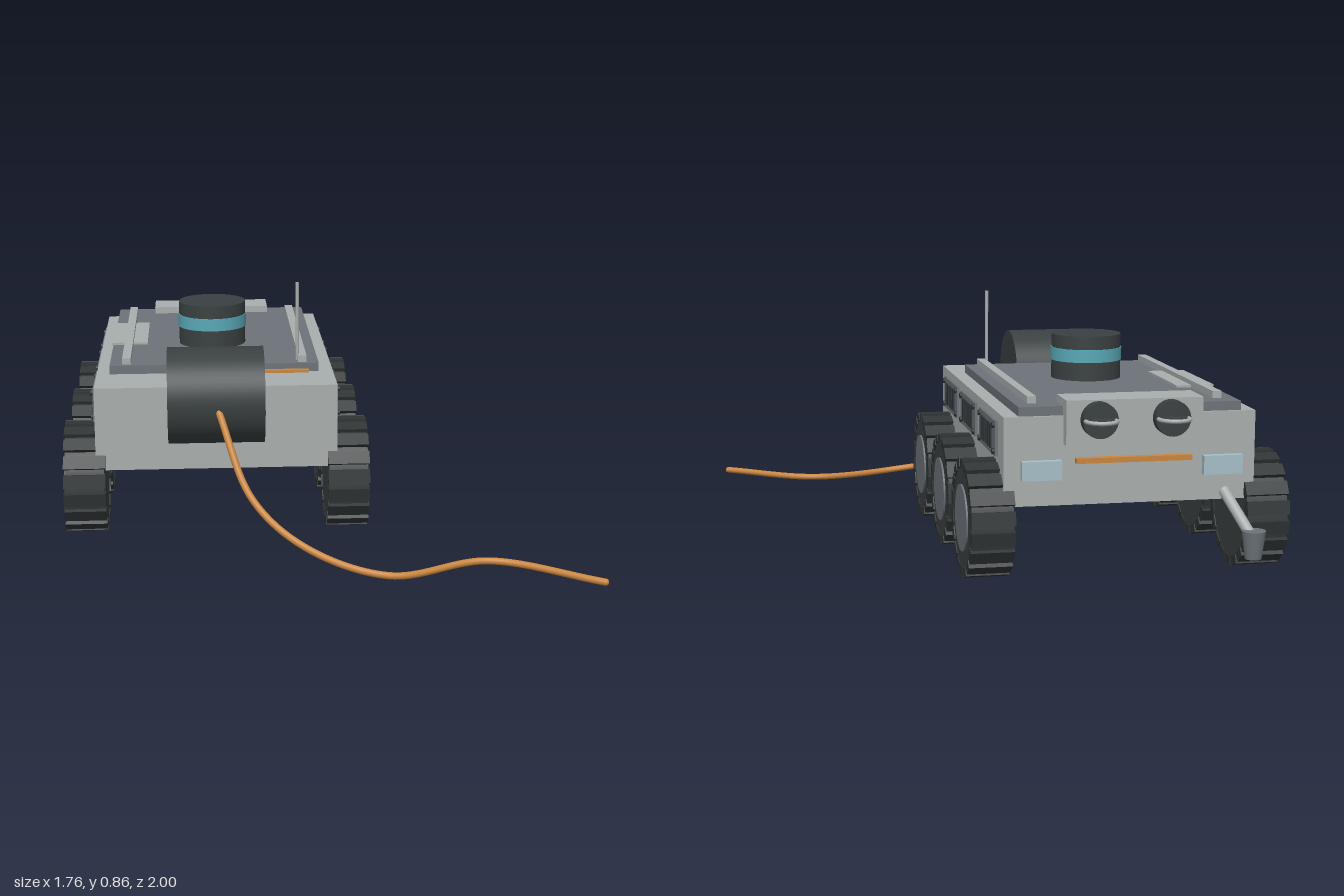
import * as THREE from 'three';

const mat = (name, color, extra) => {
  const m = new THREE.MeshStandardMaterial({ color, ...extra });
  m.name = name;
  return m;
};

export function createModel() {
  const shell = mat('light grey shell', 0xa9afae);
  const slate = mat('slate grey', 0x6c7378);
  const dark = mat('charcoal', 0x3a4041);
  const tread = mat('dark rubber', 0x2f3435);
  const orange = mat('orange', 0xca8640);
  const teal = mat('teal glass', 0x58a8b6);
  const pale = mat('pale lamp', 0xa6bfc7);

  const root = new THREE.Group();
  root.name = 'rover';
  const CX = -0.35; // centre line of the vehicle

  const add = (parent, name, geo, material, x = 0, y = 0, z = 0) => {
    const m = new THREE.Mesh(geo, material);
    m.name = name;
    m.position.set(x, y, z);
    parent.add(m);
    return m;
  };
  // Box from its minimum and maximum on each axis
  const box = (name, material, x0, x1, y0, y1, z0, z1, parent = root) =>
    add(parent, name, new THREE.BoxGeometry(x1 - x0, y1 - y0, z1 - z0), material,
      (x0 + x1) / 2, (y0 + y1) / 2, (z0 + z1) / 2);
  const cyl = (r0, r1, h, n = 48) => new THREE.CylinderGeometry(r0, r1, h, n);

  // Hull, deck and roof details
  box('hull', shell, -0.766, 0.066, 0.26, 0.55, -0.837, 0.362);
  box('deck', slate, -0.72, 0.016, 0.55, 0.58, -0.827, 0.16);
  box('rightRail', shell, -0.676, -0.646, 0.58, 0.603, -0.758, 0.143);
  box('leftRail', shell, -0.056, -0.026, 0.58, 0.603, -0.758, 0.143);
  box('deckPlate', shell, -0.726, -0.594, 0.58, 0.588, -0.525, -0.175);
  box('rearHousing', shell, -0.577, -0.128, 0.46, 0.605, -0.876, -0.738);
  box('frontStrip', orange, -0.3, -0.02, 0.55, 0.56, 0.16, 0.181);
  add(root, 'antenna', cyl(0.006, 0.006, 0.28, 12), shell, -0.057, 0.72, 0.11);

  // Sensor turret with a glass band
  add(root, 'turret', cyl(0.122, 0.122, 0.157), dark, -0.354, 0.6575, -0.212);
  add(root, 'turretBand', cyl(0.125, 0.125, 0.045), teal, -0.354, 0.667, -0.212);

  // Cable drum and trailing cable
  const drum = add(root, 'cableDrum', cyl(0.165, 0.165, 0.328, 64), dark, -0.351, 0.517, 0.342);
  drum.rotation.z = Math.PI / 2;
  const path = new THREE.CatmullRomCurve3([
    [-0.345, 0.5, 0.495], [-0.24, 0.24, 0.655], [-0.07, 0.11, 0.78],
    [0.19, 0.045, 0.88], [0.53, 0.047, 0.77], [0.87, 0.045, 0.985],
  ].map(p => new THREE.Vector3(...p)));
  add(root, 'cable', new THREE.TubeGeometry(path, 100, 0.012, 12), orange);
  add(root, 'cableEnd', new THREE.SphereGeometry(0.012, 12, 8), orange, 0.87, 0.045, 0.985);

  // Wheels: tyre, hub and tread blocks
  const makeWheel = side => {
    const g = new THREE.Group();
    g.name = 'wheel';
    const tyre = add(g, 'tyre', cyl(0.182, 0.182, 0.136), dark);
    tyre.rotation.z = Math.PI / 2;
    const hub = add(g, 'hub', cyl(0.11, 0.11, 0.012), slate, side * 0.068);
    hub.rotation.z = Math.PI / 2;
    const block = new THREE.BoxGeometry(0.144, 0.03, 0.046);
    for (let i = 0; i < 18; i++) {
      const a = (i / 18) * Math.PI * 2;
      const b = add(g, 'treadBlock', block, tread, 0, Math.cos(a) * 0.179, Math.sin(a) * 0.179);
      b.rotation.x = a;
    }
    return g;
  };

  // Vent panel: backing plate, slots and corner bolts
  const makeVent = side => {
    const g = new THREE.Group();
    g.name = 'ventPanel';
    box('ventPlate', slate, -0.005, 0.005, -0.058, 0.058, -0.142, 0.142, g);
    for (let i = -2; i <= 2; i++) {
      box('ventSlot', tread, -0.01, 0.01, -0.04, 0.04, i * 0.038 - 0.008, i * 0.038 + 0.008, g);
    }
    for (const y of [-0.043, 0.043]) for (const z of [-0.124, 0.124]) {
      const bolt = add(g, 'bolt', cyl(0.01, 0.01, 0.024, 12), tread, 0, y, z);
      bolt.rotation.z = Math.PI / 2;
    }
    return g;
  };

  for (const side of [-1, 1]) {
    for (const z of [0.212, -0.238, -0.69]) {
      const w = makeWheel(side);
      w.position.set(CX + side * 0.455, 0.198, z);
      root.add(w);
    }
    for (const z of [0.126, -0.238, -0.602]) {
      const v = makeVent(side);
      v.position.set(CX + side * 0.421, 0.465, z);
      root.add(v);
    }
    // Rear lamps with flat lens disc and guard ring
    const lx = CX + side * 0.1185;
    const lamp = add(root, 'rearLamp', cyl(0.058, 0.058, 0.04, 32), dark, lx, 0.543, -0.892);
    lamp.rotation.x = Math.PI / 2;
    add(root, 'lampLens', cyl(0.04, 0.04, 0.014, 32), dark, lx, 0.543, -0.922);
    const ring = add(root, 'lampRing', new THREE.TorusGeometry(0.05, 0.007, 10, 40), shell, lx, 0.543, -0.917);
    ring.rotation.x = Math.PI / 2;
    // Rear marker lights
    const mx = CX + side * 0.299;
    box('markerLight', pale, mx - 0.065, mx + 0.065, 0.35, 0.412, -0.876, -0.852);
  }
  box('rearHandle', orange, -0.54, -0.16, 0.403, 0.42, -0.888, -0.864);

  // Sampling arm with a tapered cup
  const from = new THREE.Vector3(-0.665, 0.29, -0.83), to = new THREE.Vector3(-0.727, 0.15, -0.958);
  const dir = to.clone().sub(from);
  const mid = from.clone().add(to).multiplyScalar(0.5);
  const arm = add(root, 'samplingArm', cyl(0.018, 0.018, dir.length(), 20), shell, mid.x, mid.y, mid.z);
  arm.quaternion.setFromUnitVectors(new THREE.Vector3(0, 1, 0), dir.normalize());
  add(root, 'samplingCup', cyl(0.039, 0.027, 0.092, 28), slate, -0.727, 0.134, -0.961);

  return root;
}
